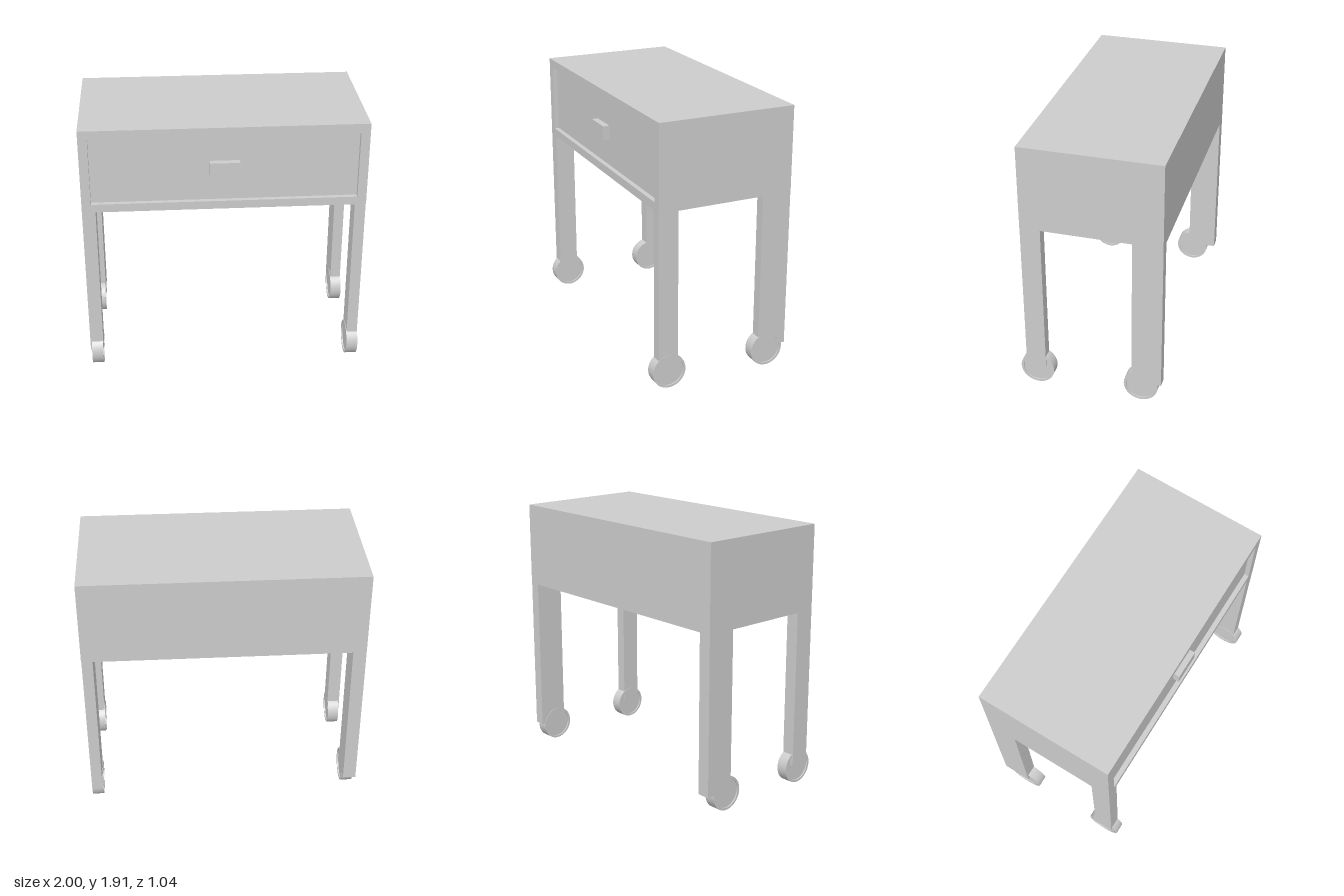
import * as THREE from 'three';
import { toCreasedNormals } from 'three/addons/utils/BufferGeometryUtils.js';

const material = new THREE.MeshStandardMaterial({ color: 0xcccccc });

// Box given by its limits along each axis
function box(name, [x0, x1], [y0, y1], [z0, z1]) {
  const mesh = new THREE.Mesh(new THREE.BoxGeometry(x1 - x0, y1 - y0, z1 - z0), material);
  mesh.position.set((x0 + x1) / 2, (y0 + y1) / 2, (z0 + z1) / 2);
  mesh.name = name;
  return mesh;
}

function rectangle(target, w, y0, y1) {
  target.moveTo(-w, y0);
  target.lineTo(w, y0);
  target.lineTo(w, y1);
  target.lineTo(-w, y1);
  target.closePath();
  return target;
}

// Wheel with a raised rim on both faces, its axle along x
function wheelGeometry(radius, width, rim, recess) {
  const h = width / 2, r = radius - rim;
  const profile = [
    [0, -h + recess], [r, -h + recess], [r, -h], [radius, -h],
    [radius, h], [r, h], [r, h - recess], [0, h - recess],
  ].map(([x, y]) => new THREE.Vector2(x, y));
  const geometry = new THREE.LatheGeometry(profile, 48);
  geometry.rotateZ(Math.PI / 2);
  return toCreasedNormals(geometry, 0.6);
}

export function createModel() {
  const model = new THREE.Group();
  model.name = 'rollingTable';

  const bottom = 1.3, top = 1.915, front = 0.48, back = -0.52, drawerFront = 0.445;

  // Cabinet, whose front is the drawer panel
  model.add(box('cabinet', [-1, 1], [bottom, top], [back, drawerFront]));

  // Raised frame around the drawer
  const outline = rectangle(new THREE.Shape(), 1, bottom, top);
  outline.holes.push(rectangle(new THREE.Path(), 0.935, 1.36, 1.85));
  const frame = new THREE.Mesh(
    new THREE.ExtrudeGeometry(outline, { depth: front - drawerFront, bevelEnabled: false }), material);
  frame.position.z = drawerFront;
  frame.name = 'drawerFrame';
  model.add(frame);

  model.add(box('drawerHandle', [-0.105, 0.105], [1.555, 1.655], [drawerFront, 0.492]));

  // Legs, each with a wheel let into its foot
  const wheel = wheelGeometry(0.124, 0.083, 0.016, 0.01);
  const frontZ = [0.335, front], backZ = [back, -0.305];
  const corners = [
    { name: 'frontLeft', x: [0.92, 0.998], z: frontZ, wheelX: 0.958, wheelZ: 0.399 },
    { name: 'frontRight', x: [-1, -0.905], z: frontZ, wheelX: -0.948, wheelZ: 0.399 },
    { name: 'backLeft', x: [0.92, 0.998], z: backZ, wheelX: 0.958, wheelZ: -0.372 },
    { name: 'backRight', x: [-1, -0.905], z: backZ, wheelX: -0.948, wheelZ: -0.331 },
  ];
  for (const c of corners) {
    model.add(box(c.name + 'Leg', c.x, [0.147, bottom], c.z));
    const mesh = new THREE.Mesh(wheel, material);
    mesh.position.set(c.wheelX, 0.124, c.wheelZ);
    mesh.name = c.name + 'Wheel';
    model.add(mesh);
  }
  return model;
}
